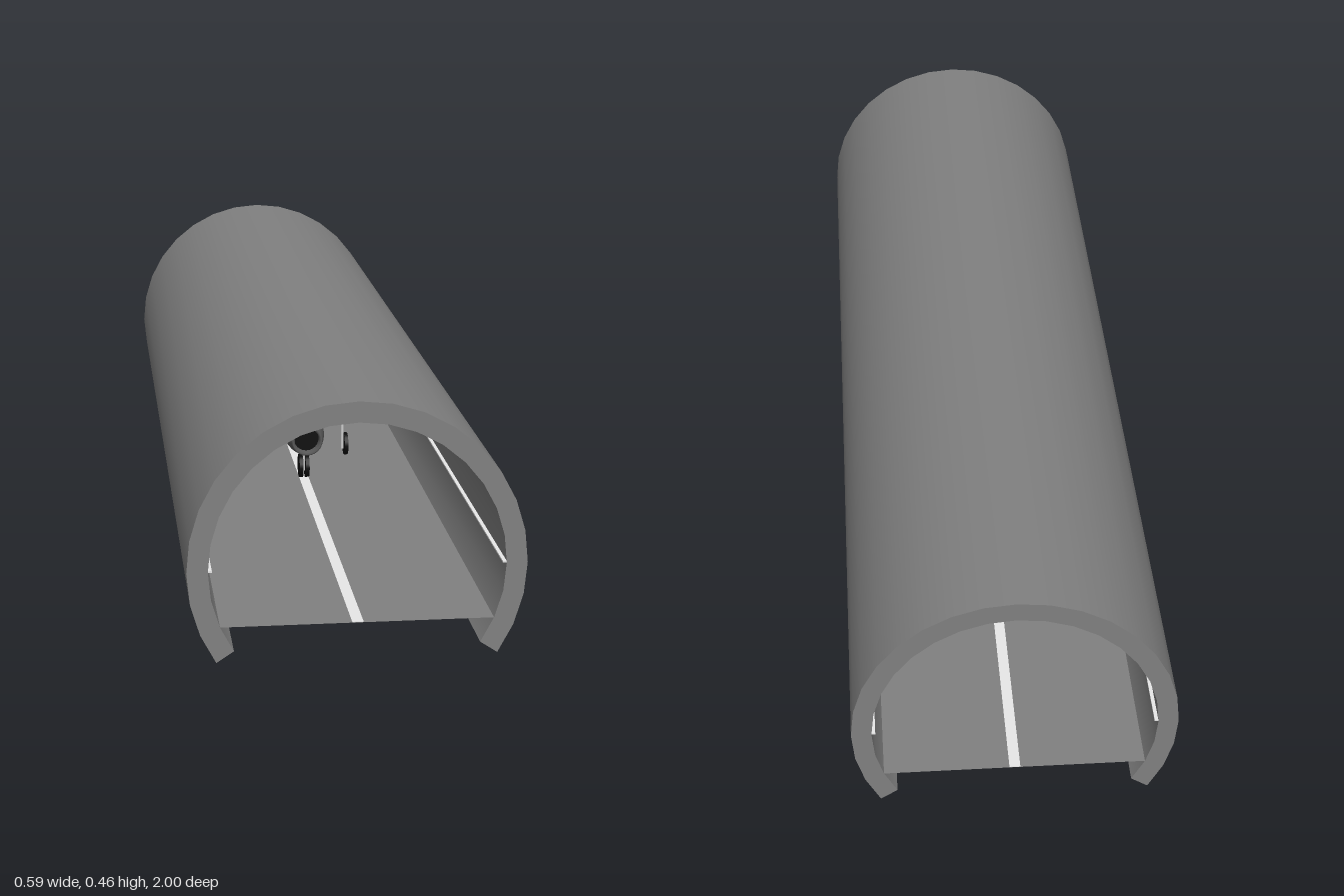
import * as THREE from 'three';

const paint = (name, color, side = THREE.FrontSide) => {
  const m = new THREE.MeshStandardMaterial({ color, side });
  m.name = name;
  return m;
};

export function createModel() {
  const concrete = paint('concrete grey', 0x808080, THREE.DoubleSide);
  const white = paint('white', 0xffffff);
  const red = paint('red', 0xc01810, THREE.DoubleSide);
  const darkGrey = paint('dark grey', 0x5a5a5a, THREE.DoubleSide);
  const black = paint('black', 0x0c0c0c);
  const metal = paint('light metal', 0xd0d0d0);

  const model = new THREE.Group();
  model.name = 'tunnelHangar';
  const add = (parent, name, geometry, material, x = 0, y = 0, z = 0) => {
    const mesh = new THREE.Mesh(geometry, material);
    mesh.name = name;
    mesh.position.set(x, y, z);
    parent.add(mesh);
    return mesh;
  };

  // Arched shell: 22 of 32 sides of a circle
  const CY = 0.165, RO = 0.297, RI = 0.26, LEN = 2;
  const step = Math.PI / 16, low = -3 * step, sweep = 22 * step;
  for (const [name, r] of [['outerShell', RO], ['innerShell', RI]]) {
    const g = new THREE.CylinderGeometry(r, r, LEN, 22, 1, true, low + Math.PI / 2, sweep);
    add(model, name, g.rotateX(Math.PI / 2), concrete, 0, CY, 0);
  }
  for (const s of [1, -1]) {
    const rim = add(model, 'shellEnd', new THREE.RingGeometry(RI, RO, 22, 1, low, sweep), concrete, 0, CY, s);
    if (s < 0) rim.rotation.y = Math.PI;
    // Foot of the shell
    const mid = (RI + RO) / 2;
    const foot = new THREE.PlaneGeometry(RO - RI, LEN).rotateX(Math.PI / 2).rotateZ(s * low);
    add(model, 'shellFoot', foot, concrete, s * mid * Math.cos(low), CY + mid * Math.sin(low), 0);
    // Thin line along each inner wall
    add(model, 'wallLine', new THREE.BoxGeometry(0.007, 0.003, LEN), white, s * 0.2565, 0.167, 0);
  }

  // Floor and centre stripe
  add(model, 'floor', new THREE.PlaneGeometry(0.556, LEN).rotateX(-Math.PI / 2), concrete, 0, 0.065, 0);
  add(model, 'centreStripe', new THREE.BoxGeometry(0.02, 0.001, LEN), white, 0, 0.066, 0);

  // Ceiling lamps
  for (let i = 0; i < 10; i++) {
    add(model, 'ceilingLamp', new THREE.CylinderGeometry(0.013, 0.013, 0.022, 8), metal, 0, 0.415, -0.9 + i * 0.2);
  }

  // Parked jet
  const jet = new THREE.Group();
  jet.name = 'jet';
  model.add(jet);
  const lathe = (pts, start = 0, length = Math.PI * 2) =>
    new THREE.LatheGeometry(pts.map(p => new THREE.Vector2(...p)), 24, start, length).rotateX(Math.PI / 2);
  const hull = [[0, -0.2], [0.02, -0.2], [0.036, -0.12], [0.045, -0.03], [0.046, 0.05], [0.044, 0.12]];
  add(jet, 'upperFuselage', lathe(hull, Math.PI / 2, Math.PI), red, 0, CY, 0);
  add(jet, 'lowerFuselage', lathe(hull, -Math.PI / 2, Math.PI), darkGrey, 0, CY, 0);
  add(jet, 'nose', lathe([[0.044, 0.12], [0.04, 0.16], [0.033, 0.197], [0.03, 0.2], [0.026, 0.197], [0.026, 0.18]]), darkGrey, 0, CY, 0);
  add(jet, 'intake', new THREE.CircleGeometry(0.026, 24), black, 0, CY, 0.181);
  const canopy = add(jet, 'canopy', new THREE.SphereGeometry(0.024, 16, 12), darkGrey, 0, 0.208, 0.07);
  canopy.scale.z = 2.2;

  // Flat swept surfaces
  const plate = (pts, depth) => new THREE.ExtrudeGeometry(
    new THREE.Shape(pts.map(p => new THREE.Vector2(...p))), { depth, bevelEnabled: false });
  for (const s of [1, -1]) {
    const wing = [[0.03, 0.07], [0.2, -0.06], [0.2, -0.11], [0.03, -0.04]].map(([x, z]) => [s * x, z]);
    const tail = [[0.01, -0.13], [0.1, -0.18], [0.1, -0.21], [0.01, -0.18]].map(([x, z]) => [s * x, z]);
    add(jet, 'wing', plate(wing, 0.003).rotateX(Math.PI / 2), red, 0, 0.171, 0);
    add(jet, 'tailplane', plate(tail, 0.003).rotateX(Math.PI / 2), darkGrey, 0, 0.169, 0);
  }
  const fin = plate([[-0.08, 0.2], [-0.17, 0.297], [-0.21, 0.297], [-0.19, 0.17], [-0.1, 0.18]], 0.003);
  add(jet, 'fin', fin.rotateY(-Math.PI / 2), red, 0.0015, 0, 0);

  // Landing gear
  const wheel = (name, x, z) => add(jet, name,
    new THREE.CylinderGeometry(0.0245, 0.0245, 0.008, 16).rotateZ(Math.PI / 2), black, x, 0.091, z);
  const strut = (name, x, top, z) => add(jet, name,
    new THREE.CylinderGeometry(0.003, 0.003, top - 0.08, 8), metal, x, (top + 0.08) / 2, z);
  for (const s of [1, -1]) {
    strut('mainStrut', s * 0.103, 0.169, -0.03);
    wheel('mainWheel', s * 0.11, -0.03);
    wheel('noseWheel', s * 0.0065, 0.13);
  }
  strut('noseStrut', 0, 0.13, 0.13);

  return model;
}
